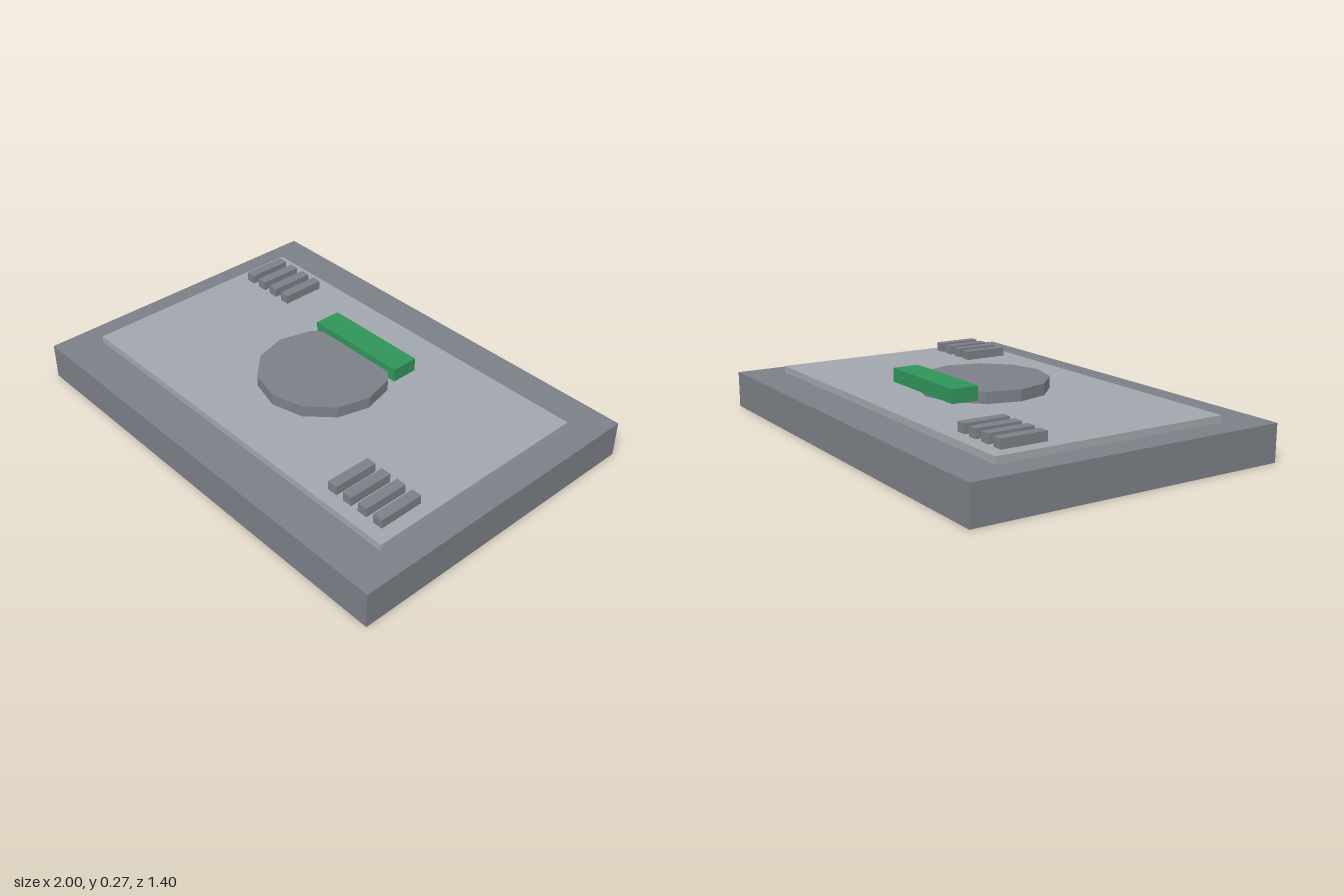
import * as THREE from 'three';

const paint = (name, color) => {
  const m = new THREE.MeshStandardMaterial({ color });
  m.name = name;
  return m;
};

export function createModel() {
  const model = new THREE.Group();
  model.name = 'consolePlate';

  const darkGrey = paint('dark grey', 0x7b8087);
  const lightGrey = paint('light grey', 0xa1a7ad);
  const green = paint('green', 0x309459);
  darkGrey.flatShading = true; // faceted disc

  // Box standing on height y, centred on x and z
  const box = (name, material, w, h, d, x, y, z, parent = model) => {
    const mesh = new THREE.Mesh(new THREE.BoxGeometry(w, h, d), material);
    mesh.name = name;
    mesh.position.set(x, y + h / 2, z);
    parent.add(mesh);
  };

  // Slab and raised panel
  box('base', darkGrey, 2, 0.16, 1.4, 0, 0, 0);
  box('panel', lightGrey, 1.76, 0.03, 1.04, 0, 0.16, 0);

  // Twelve-sided disc
  const disc = new THREE.Mesh(new THREE.CylinderGeometry(0.28, 0.28, 0.05, 12), darkGrey);
  disc.name = 'disc';
  disc.position.y = 0.215;
  model.add(disc);

  // Green bar across the back of the disc
  box('bar', green, 0.48, 0.06, 0.12, 0, 0.21, -0.24);

  // Fins in two opposite corners
  for (const side of [-1, 1]) {
    const fins = new THREE.Group();
    fins.name = side < 0 ? 'backRightFins' : 'frontLeftFins';
    for (let i = 0; i < 4; i++) {
      box('fin', darkGrey, 0.045, 0.04, 0.2, side * (0.56 + i * 0.08), 0.19, side * 0.36, fins);
    }
    model.add(fins);
  }

  return model;
}
